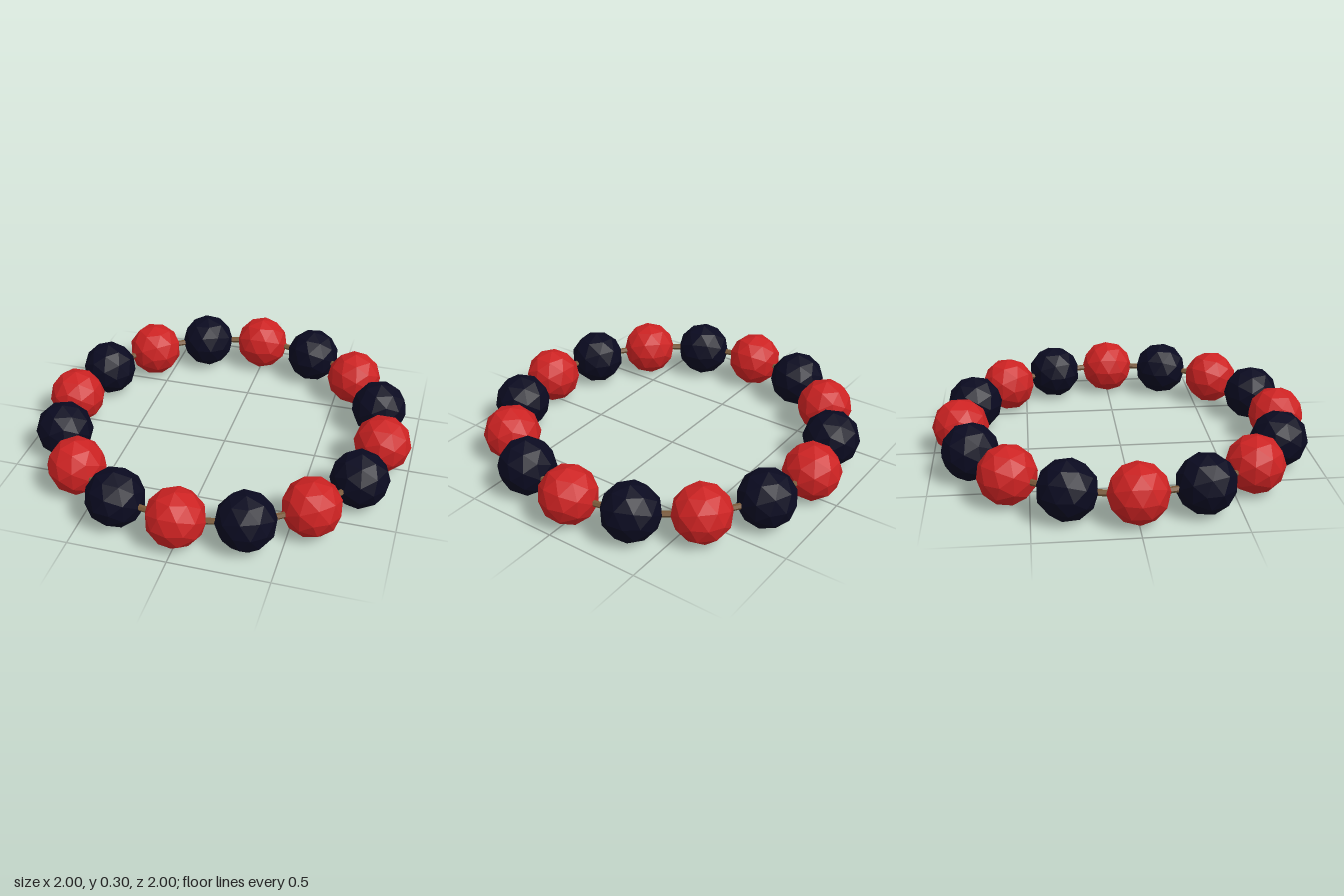
import * as THREE from 'three';

const BEADS = 16;
const RING = 0.85;
const BEAD_RADIUS = 0.15;

export function createModel() {
  const red = new THREE.MeshStandardMaterial({ color: 0xcc2222 });
  red.name = 'red';
  const navy = new THREE.MeshStandardMaterial({ color: 0x0a0a20 });
  navy.name = 'dark navy';
  const brown = new THREE.MeshStandardMaterial({ color: 0x7a5a3a });
  brown.name = 'brown cord';
  for (const m of [red, navy, brown]) m.flatShading = true;

  const bracelet = new THREE.Group();
  bracelet.name = 'beadBracelet';

  // Cord running through every bead
  const cord = new THREE.Mesh(new THREE.TorusGeometry(RING, 0.016, 6, 48), brown);
  cord.name = 'cord';
  cord.rotation.x = Math.PI / 2;
  cord.position.y = BEAD_RADIUS;
  bracelet.add(cord);

  // Faceted beads in alternating colours, each turned to follow the ring
  const beadGeometry = new THREE.IcosahedronGeometry(BEAD_RADIUS, 1);
  for (let i = 0; i < BEADS; i++) {
    const angle = (i / BEADS) * Math.PI * 2;
    const bead = new THREE.Mesh(beadGeometry, i % 2 ? navy : red);
    bead.name = i % 2 ? 'darkBead' : 'redBead';
    bead.position.set(Math.cos(angle) * RING, BEAD_RADIUS, Math.sin(angle) * RING);
    bead.rotation.y = -angle;
    bracelet.add(bead);
  }

  return bracelet;
}
